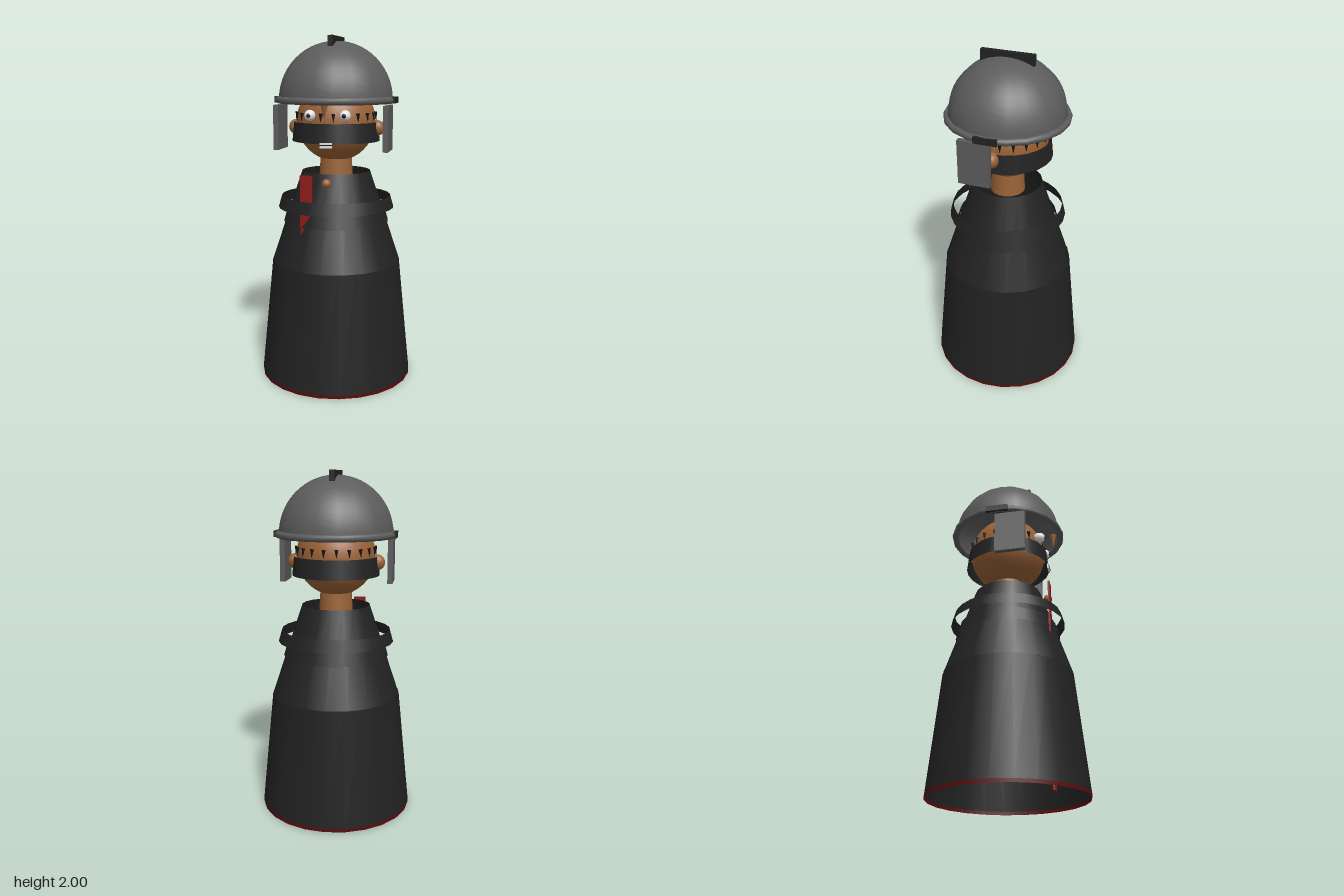
import * as THREE from 'three';

const mat = (name, color, side = THREE.FrontSide) => {
  const m = new THREE.MeshStandardMaterial({ color, side });
  m.name = name;
  return m;
};

export function createModel() {
  const model = new THREE.Group();
  model.name = 'helmetedFigure';

  const black = mat('black cloth', 0x222222, THREE.DoubleSide);
  const steel = mat('helmet grey', 0x5c5c5c, THREE.DoubleSide);
  const skin = mat('skin', 0x9a6236);
  const red = mat('red sash', 0x8b1a1a);
  const hemRed = mat('dark red hem', 0x5a0c0c, THREE.DoubleSide);
  const white = mat('white', 0xe6e6e6);
  const dark = mat('near black', 0x161616);

  const add = (name, geometry, material, x = 0, y = 0, z = 0, parent = model) => {
    const mesh = new THREE.Mesh(geometry, material);
    mesh.name = name;
    mesh.position.set(x, y, z);
    parent.add(mesh);
    return mesh;
  };
  // open frustum standing between two heights
  const skirt = (name, rTop, rBottom, y0, y1, sides, material) =>
    add(name, new THREE.CylinderGeometry(rTop, rBottom, y1 - y0, sides, 1, true), material, 0, (y0 + y1) / 2);

  // robe and shoulder cape
  skirt('lowerRobe', 0.38, 0.45, 0.02, 0.7, 24, black);
  skirt('hem', 0.45, 0.45, 0, 0.02, 24, hemRed);
  skirt('upperRobe', 0.2, 0.38, 0.7, 1.235, 20, black);
  skirt('lowerCape', 0.285, 0.31, 0.935, 1.02, 24, black);
  skirt('upperCape', 0.32, 0.34, 1.02, 1.09, 24, black);

  // sash hanging at the front, and a round clasp
  add('sash', new THREE.BoxGeometry(0.07, 1.22, 0.01), red, -0.11, 0.625, 0.27);
  add('clasp', new THREE.SphereGeometry(0.026, 14, 10), skin, 0, 1.19, 0.245);

  // neck and head
  add('neck', new THREE.CylinderGeometry(0.09, 0.1, 0.16, 18), skin, 0, 1.26, 0);
  add('head', new THREE.SphereGeometry(0.23, 28, 20), skin, 0, 1.52, 0);
  skirt('faceBand', 0.243, 0.255, 1.41, 1.52, 24, black);

  // small spikes of hair around the head
  const hair = new THREE.Group();
  hair.name = 'hairSpikes';
  model.add(hair);
  const count = 20;
  for (let i = 0; i < count; i++) {
    const a = ((i + 0.5) / count) * Math.PI * 2;
    const spike = add('hairSpike', new THREE.ConeGeometry(0.012, 0.05, 6), dark,
      Math.sin(a) * 0.229, 1.55, Math.cos(a) * 0.229, hair);
    spike.rotation.set(Math.PI - 0.15, a, 0, 'YXZ');
  }

  // paired parts: ears, eyes, cheek plates, hinges
  for (const [side, s] of [['left', 1], ['right', -1]]) {
    const ear = add(side + 'Ear', new THREE.SphereGeometry(0.045, 16, 12), skin, s * 0.24, 1.485, 0);
    ear.scale.z = 0.8;
    const eye = add(side + 'Eye', new THREE.SphereGeometry(0.031, 16, 12), white, s * 0.1, 1.565, 0.215);
    eye.scale.z = 1.2;
    add(side + 'Pupil', new THREE.SphereGeometry(0.014, 12, 8), dark, s * 0.1, 1.565, 0.242);
    add(side + 'CheekPlate', new THREE.BoxGeometry(0.03, 0.255, 0.18), steel, s * 0.315, 1.49, 0.075);
    add(side + 'Hinge', new THREE.BoxGeometry(0.035, 0.035, 0.13), black, s * 0.335, 1.645, 0);
  }

  // pointed nose and mouth
  const nose = add('nose', new THREE.ConeGeometry(0.022, 0.09, 10), skin, 0, 1.59, 0.288);
  nose.rotation.x = Math.PI;
  add('teeth', new THREE.BoxGeometry(0.07, 0.03, 0.009), white, 0, 1.403, 0.255);
  add('mouthLine', new THREE.BoxGeometry(0.07, 0.005, 0.004), dark, 0, 1.405, 0.26);

  // helmet: dome, rim and crest
  add('helmetDome', new THREE.SphereGeometry(0.33, 18, 14, 0, Math.PI * 2, 0, Math.PI / 2), steel, 0, 1.645, 0);
  const rim = add('helmetRim', new THREE.TorusGeometry(0.333, 0.02, 10, 20), steel, 0, 1.645, 0);
  rim.rotation.x = Math.PI / 2;
  add('helmetCrest', new THREE.BoxGeometry(0.03, 0.06, 0.3), black, 0, 1.97, 0);

  return model;
}
